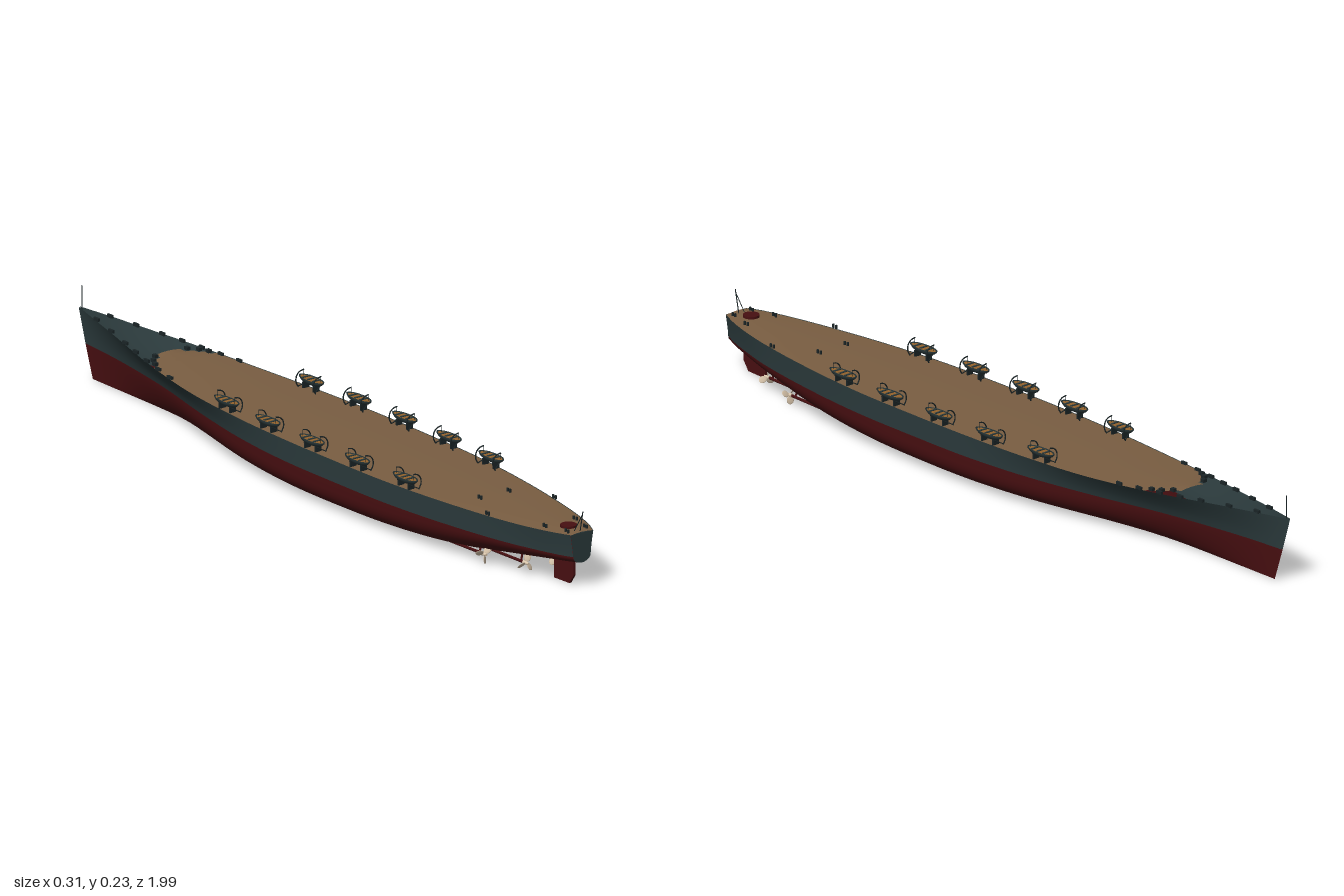
import * as THREE from 'three';

const mat = (name, color, side = THREE.FrontSide) => {
  const m = new THREE.MeshStandardMaterial({ color, side });
  m.name = name;
  return m;
};
const steel = mat('hull grey', 0x2b3a3c, THREE.DoubleSide);
const red = mat('antifouling red', 0x480f11, THREE.DoubleSide);
const wood = mat('deck wood', 0x7a5e42, THREE.DoubleSide);
const canvas = mat('boat wood', 0x94632c, THREE.DoubleSide);
const bronze = mat('propeller bronze', 0xdcc8ae, THREE.DoubleSide);
const dark = mat('fitting grey', 0x1b2527);

// Hull lines along z, bow at -z and stern at +z
const Z = [-0.995, -0.9, -0.8, -0.6, -0.4, -0.2, 0, 0.2, 0.4, 0.6, 0.8, 0.9, 0.96, 0.99];
const line = (values) => {
  const f = new THREE.CubicInterpolant(Z, values, 1);
  return (z) => f.evaluate(z)[0];
};
const deckHalf = line([0.002, 0.024, 0.046, 0.09, 0.122, 0.14, 0.148, 0.148, 0.143, 0.124, 0.092, 0.068, 0.048, 0.034]);
const waterHalf = line([0.002, 0.008, 0.018, 0.048, 0.092, 0.128, 0.146, 0.147, 0.142, 0.122, 0.088, 0.06, 0.04, 0.026]);
const keelY = line([0.005, 0.005, 0.005, 0.005, 0.005, 0.005, 0.005, 0.005, 0.006, 0.015, 0.043, 0.058, 0.066, 0.07]);
const fullness = line([1.2, 1.2, 1.3, 1.6, 2.2, 3, 3.5, 3.5, 3, 2.4, 2, 2, 2, 2]);
const sheer = line([0.173, 0.169, 0.164, 0.153, 0.145, 0.143, 0.143, 0.143, 0.143, 0.143, 0.143, 0.144, 0.145, 0.145]);
const WATER = 0.088;

// Raked stem: lower points near the bow move aft
const rake = (z, y) => z + 0.055 * (1 - y / 0.173) * Math.pow(Math.max(0, (-0.6 - z) / 0.395), 1.5);

function topPoints(z, s) {
  const pts = [];
  for (let k = 0; k <= 5; k++) {
    const t = 1 - k / 5, w = waterHalf(z);
    pts.push([s * (w + (deckHalf(z) - w) * Math.pow(t, 1.3)), WATER + (sheer(z) - WATER) * t]);
  }
  return s > 0 ? pts : pts.reverse();
}

function bottomPoints(z) {
  const pts = [], e = 2 / fullness(z), w = waterHalf(z);
  for (let k = 0; k <= 28; k++) {
    const a = (k / 28) * Math.PI, c = Math.cos(a);
    pts.push([w * Math.sign(c) * Math.pow(Math.abs(c), e), WATER - (WATER - keelY(z)) * Math.pow(Math.max(0, Math.sin(a)), e)]);
  }
  return pts;
}

// Skin a surface over rows of [x, y, z] points
function loft(rows) {
  const n = rows[0].length, index = [];
  for (let i = 0; i < rows.length - 1; i++) for (let j = 0; j < n - 1; j++) {
    const a = i * n + j, b = a + n;
    index.push(a, b, a + 1, b, b + 1, a + 1);
  }
  const g = new THREE.BufferGeometry();
  g.setAttribute('position', new THREE.Float32BufferAttribute(rows.flat(2), 3));
  g.setIndex(index);
  g.computeVertexNormals();
  return g;
}

function add(parent, name, geometry, material, x = 0, y = 0, z = 0) {
  const m = new THREE.Mesh(geometry, material);
  m.name = name;
  m.position.set(x, y, z);
  parent.add(m);
  return m;
}

function tube(parent, name, pts, r, material) {
  const c = new THREE.CatmullRomCurve3(pts.map((p) => new THREE.Vector3(...p)));
  return add(parent, name, new THREE.TubeGeometry(c, pts.length > 2 ? 12 : 1, r, 6), material);
}

function buildHull(g) {
  const stations = Array.from({ length: 61 }, (_, i) => -0.995 + (1.985 * i) / 60);
  const skin = (f) => loft(stations.map((z) => f(z).map(([x, y]) => [x, y, rake(z, y)])));
  add(g, 'lowerHull', skin(bottomPoints), red);
  for (const s of [1, -1]) add(g, 'topsides', skin((z) => topPoints(z, s)), steel);

  // Flat transom closing the stern
  const edge = [...topPoints(0.99, 1), ...bottomPoints(0.99).slice(1, -1), ...topPoints(0.99, -1)];
  add(g, 'transom', new THREE.ShapeGeometry(new THREE.Shape(edge.map((p) => new THREE.Vector2(...p)))), steel, 0, 0, 0.991);

  // Wooden deck with a stepped forward end and slight camber
  const rows = [[-0.645, 0.036], [-0.625, 0.038], [-0.62, 0.058], [-0.605, 0.062], [-0.6, 0.076], [-0.58, 0.08]];
  for (let i = 0; i <= 40; i++) {
    const z = -0.578 + (1.568 * i) / 40;
    rows.push([z, deckHalf(z) - 0.001]);
  }
  add(g, 'deck', loft(rows.map(([z, w]) => [-1, -0.5, 0, 0.5, 1].map((t) => [t * w, sheer(z) - 0.001 + 0.003 * (1 - t * t), z]))), wood);
}

function buildBoat(z, s) {
  const g = new THREE.Group();
  g.name = 'lifeboat';
  g.position.set(s * (deckHalf(z) - 0.01), 0, z);
  g.scale.x = s;
  const hull = add(g, 'boatHull', new THREE.SphereGeometry(1, 16, 6, 0, Math.PI * 2, Math.PI / 2, Math.PI / 2), steel, 0, 0.17, 0);
  hull.scale.set(0.016, 0.016, 0.046);
  const inside = add(g, 'boatInterior', new THREE.CircleGeometry(1, 16).rotateX(-Math.PI / 2), canvas, 0, 0.1685, 0);
  inside.scale.set(0.013, 1, 0.041);
  for (const t of [-0.02, 0, 0.02]) add(g, 'thwart', new THREE.BoxGeometry(0.025, 0.002, 0.005), steel, 0, 0.17, t);
  for (const e of [-0.034, 0.034]) {
    tube(g, 'davit', [[-0.014, 0.143, e], [-0.021, 0.157, e], [-0.019, 0.172, e], [-0.01, 0.181, e], [0.003, 0.184, e]], 0.0016, dark);
    tube(g, 'fallLine', [[0.002, 0.184, e], [0.002, 0.167, e]], 0.0006, dark);
    add(g, 'cradle', new THREE.BoxGeometry(0.018, 0.016, 0.004), dark, -0.002, 0.15, e * 0.6);
    tube(g, 'strut', [[-0.016, 0.144, e], [0.008, 0.157, e * 0.7]], 0.0014, dark);
  }
  return g;
}

function buildPropeller(x, y, z, turn) {
  const g = new THREE.Group();
  g.name = 'propeller';
  g.position.set(x, y, z);
  add(g, 'hub', new THREE.CylinderGeometry(0.003, 0.0055, 0.018, 10).rotateX(Math.PI / 2), bronze);
  for (let k = 0; k < 3; k++) {
    const arm = new THREE.Group();
    arm.name = 'bladeArm';
    arm.rotation.z = turn + (k * Math.PI * 2) / 3;
    const blade = add(arm, 'blade', new THREE.SphereGeometry(1, 10, 8), bronze, 0, 0.0145, 0);
    blade.scale.set(0.0085, 0.0115, 0.0012);
    blade.rotation.y = 0.6 * Math.sign(x);
    g.add(arm);
  }
  return g;
}

function buildStern(g) {
  for (const s of [1, -1]) {
    for (const [x, y, z, fore, turn] of [[0.045, 0.034, 0.83, 0.55, 0.3], [0.08, 0.031, 0.71, 0.45, 0.9]]) {
      g.add(buildPropeller(s * x, y, z, s * turn));
      tube(g, 'propellerShaft', [[s * x, y, z], [s * x, y - 0.006, fore]], 0.0035, red);
      const arm = tube(g, 'shaftBracket', [[s * x, y, z - 0.02], [s * x * 0.8, keelY(z) + 0.03, z - 0.02]], 0.0025, red);
      arm.name = 'shaftBracket';
    }
  }
  // Rudder blade in side profile
  const p = new THREE.Shape([[0.885, 0.004], [0.945, 0.006], [0.962, 0.03], [0.962, 0.072], [0.885, 0.072]].map((q) => new THREE.Vector2(...q)));
  const blade = new THREE.ExtrudeGeometry(p, { depth: 0.006, bevelEnabled: false }).rotateY(-Math.PI / 2);
  add(g, 'rudder', blade, red, 0.003, 0, 0);
}

function buildFittings(g) {
  // Pole at the bow and braced pole at the stern
  tube(g, 'bowStaff', [[0, 0.168, -0.984], [0, 0.23, -0.984]], 0.0013, dark);
  tube(g, 'sternStaff', [[0, 0.144, 0.983], [0, 0.2, 0.995]], 0.0013, dark);
  for (const s of [1, -1]) tube(g, 'staffBrace', [[s * 0.009, 0.145, 0.972], [0, 0.19, 0.992]], 0.001, dark);
  add(g, 'sternHatch', new THREE.CylinderGeometry(0.02, 0.02, 0.006, 24), red, 0, 0.149, 0.938);

  for (const s of [1, -1]) {
    // Paired bollards on the after deck
    for (const [x, z] of [[0.043, 0.645], [0.045, 0.905], [0.028, 0.968], [0.1, 0.75]])
      for (const d of [-0.005, 0.005])
        add(g, 'bollard', new THREE.CylinderGeometry(0.003, 0.003, 0.009, 8), dark, s * x, 0.149, z + d);
    // Chocks along the forward rail
    for (const z of [-0.5, -0.56, -0.62, -0.68, -0.74, -0.82, -0.9])
      add(g, 'chock', new THREE.BoxGeometry(0.006, 0.008, 0.018), dark, s * (deckHalf(z) - 0.004), sheer(z) + 0.002, z);
    // Small lockers at the forward deck edge
    for (const [x, z] of [[0.048, -0.632], [0.068, -0.612], [0.08, -0.59]])
      add(g, 'locker', new THREE.BoxGeometry(0.01, 0.008, 0.012), dark, s * x, sheer(z) + 0.003, z);
  }
}

export function createModel() {
  const ship = new THREE.Group();
  ship.name = 'shipHull';
  buildHull(ship);
  buildStern(ship);
  buildFittings(ship);
  for (const z of [-0.245, -0.07, 0.108, 0.285, 0.463]) for (const s of [1, -1]) {
    const boat = buildBoat(z, 1);
    const side = new THREE.Group();
    side.name = s > 0 ? 'leftBoat' : 'rightBoat';
    if (s < 0) {
      side.rotation.y = Math.PI;
      boat.position.z = -z;
    }
    side.add(boat);
    ship.add(side);
  }
  return ship;
}
